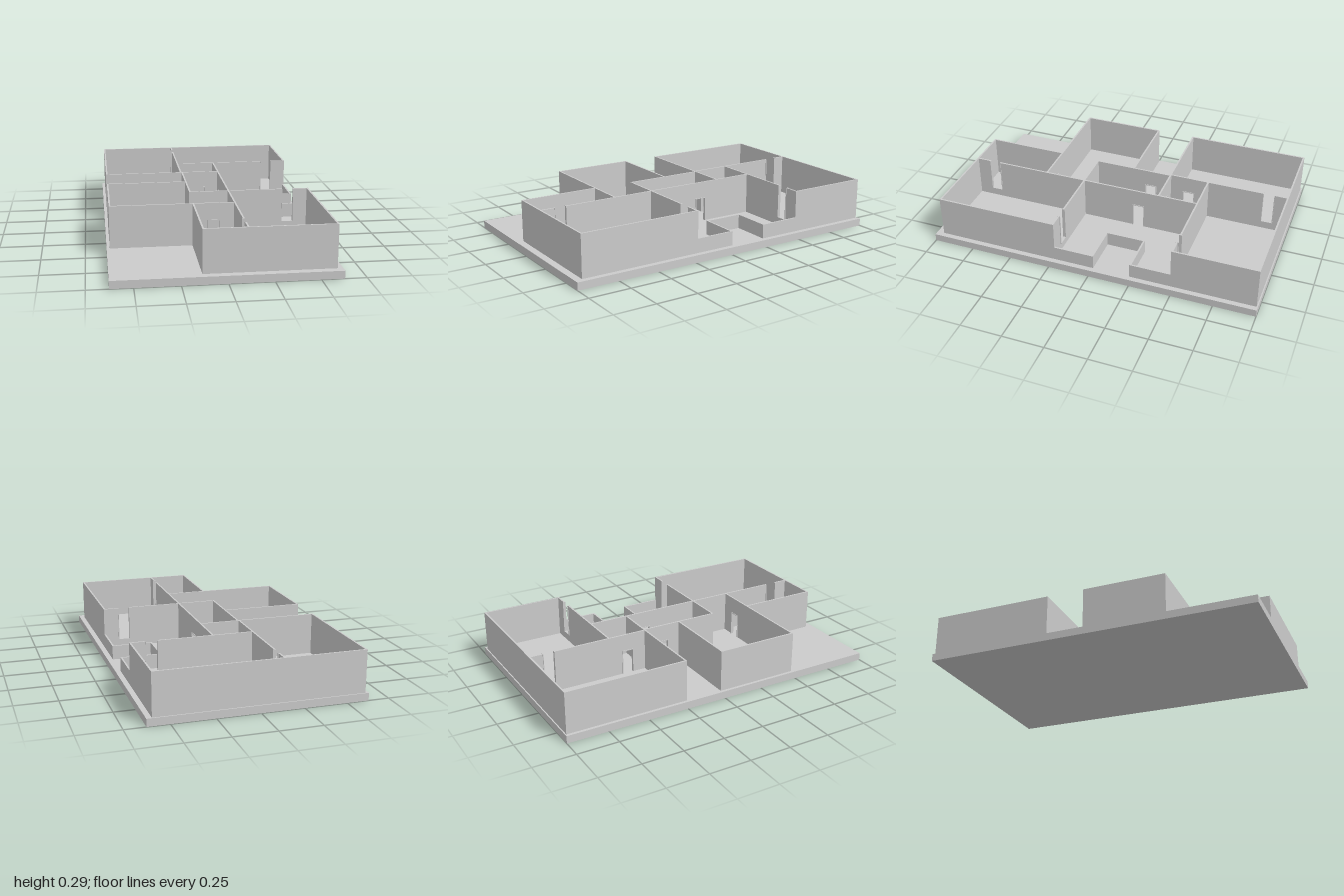
import * as THREE from 'three';

const FLOOR = 0.045, TOP = 0.295, LOW = 0.13;   // slab top, full wall, parapet
const T = 0.01;                                 // wall thickness
const DOOR_HEAD = 0.195, SILL = 0.09;           // door lintel, sill of the open slots
const OPEN = 0.074, JAMB = 0.004, DEPTH = 0.018;

export function createModel() {
  const model = new THREE.Group();
  const mat = new THREE.MeshStandardMaterial({ color: 0xcccccc, flatShading: true });

  const box = (parent, name, w, h, d, x, y, z) => {
    const mesh = new THREE.Mesh(new THREE.BoxGeometry(w, h, d), mat);
    mesh.position.set(x, y, z);
    mesh.name = name;
    parent.add(mesh);
  };

  // Frame lining an opening: two jambs plus a head (door) or a sill (slot)
  const frame = (centre, kind) => {
    const group = new THREE.Group();
    group.name = kind + 'Frame';
    const lo = kind === 'door' ? FLOOR : SILL;
    const hi = kind === 'door' ? DOOR_HEAD : TOP;
    for (const s of [-1, 1]) {
      box(group, 'jamb', JAMB, hi - lo, DEPTH, centre + s * (OPEN - JAMB) / 2, (lo + hi) / 2, 0);
    }
    const y = kind === 'door' ? hi - JAMB / 2 : lo + JAMB / 2;
    box(group, kind === 'door' ? 'head' : 'sill', OPEN - 2 * JAMB, JAMB, DEPTH, centre, y, 0);
    return group;
  };

  // Wall along 'x' or 'z' at a fixed offset; doors cut from below, slots from above
  const wall = (name, axis, offset, from, to, { height = TOP, doors = [], slots = [] } = {}) => {
    const group = new THREE.Group();
    group.name = name;
    const a = from - T / 2, b = to + T / 2, h = OPEN / 2;
    const shape = new THREE.Shape();
    shape.moveTo(a, FLOOR);
    for (const c of doors) {
      shape.lineTo(c - h, FLOOR);
      shape.lineTo(c - h, DOOR_HEAD);
      shape.lineTo(c + h, DOOR_HEAD);
      shape.lineTo(c + h, FLOOR);
    }
    shape.lineTo(b, FLOOR);
    shape.lineTo(b, height);
    for (const c of [...slots].reverse()) {
      shape.lineTo(c + h, height);
      shape.lineTo(c + h, SILL);
      shape.lineTo(c - h, SILL);
      shape.lineTo(c - h, height);
    }
    shape.lineTo(a, height);
    shape.closePath();
    const geo = new THREE.ExtrudeGeometry(shape, { depth: T, bevelEnabled: false });
    geo.translate(0, 0, -T / 2);
    const panel = new THREE.Mesh(geo, mat);
    panel.name = 'wallPanel';
    group.add(panel);
    for (const c of doors) group.add(frame(c, 'door'));
    for (const c of slots) group.add(frame(c, 'slot'));
    if (axis === 'x') group.position.z = offset;
    else {
      group.rotation.y = -Math.PI / 2;
      group.position.x = offset;
    }
    model.add(group);
  };

  // Ground slab
  box(model, 'baseSlab', 1.256, FLOOR, 2, 0, FLOOR / 2, 0);

  // Plan lines
  const W = -0.605, E = 0.592, N = -0.988, S = 0.952;
  const MID = -0.13, HALL = 0.11;

  // Outer walls
  wall('backWall', 'x', N, W, E);
  wall('rearRoomSideWall', 'z', W, N, -0.255);
  wall('rearSideWall', 'z', E, N, -0.495);
  wall('frontSideWall', 'z', E, 0.225, S);
  wall('frontWall', 'x', S, MID, E);
  wall('frontRoomSideWall', 'z', MID, 0.475, S);
  wall('middleRoomSideWall', 'z', W, -0.017, 0.475);
  wall('middleRoomBackWall', 'x', -0.017, W, -0.122);

  // Inner walls
  wall('rearDivider', 'z', MID, N, -0.255, { doors: [-0.375], slots: [-0.875] });
  wall('rearRoomFrontWall', 'x', -0.255, W, HALL, { doors: [-0.01] });
  wall('rearCrossWall', 'x', -0.495, MID, E, { slots: [0.47] });
  wall('hallWall', 'z', HALL, -0.495, S, { doors: [-0.13], slots: [0.83] });
  wall('hallSideWall', 'z', -0.122, -0.255, 0.225, { doors: [-0.13] });
  wall('frontCrossWall', 'x', 0.225, -0.122, E, { slots: [0.47] });
  wall('middleRoomFrontWall', 'x', 0.475, W, HALL, { doors: [-0.01] });

  // Low parapet around the terrace, stepping in around a recess
  const low = { height: LOW };
  wall('rearParapet', 'z', E, -0.495, -0.25, low);
  wall('frontParapet', 'z', E, -0.017, 0.225, low);
  wall('recessRearParapet', 'x', -0.25, 0.355, E, low);
  wall('recessFrontParapet', 'x', -0.017, 0.355, E, low);
  wall('recessInnerParapet', 'z', 0.355, -0.25, -0.017, low);

  return model;
}
